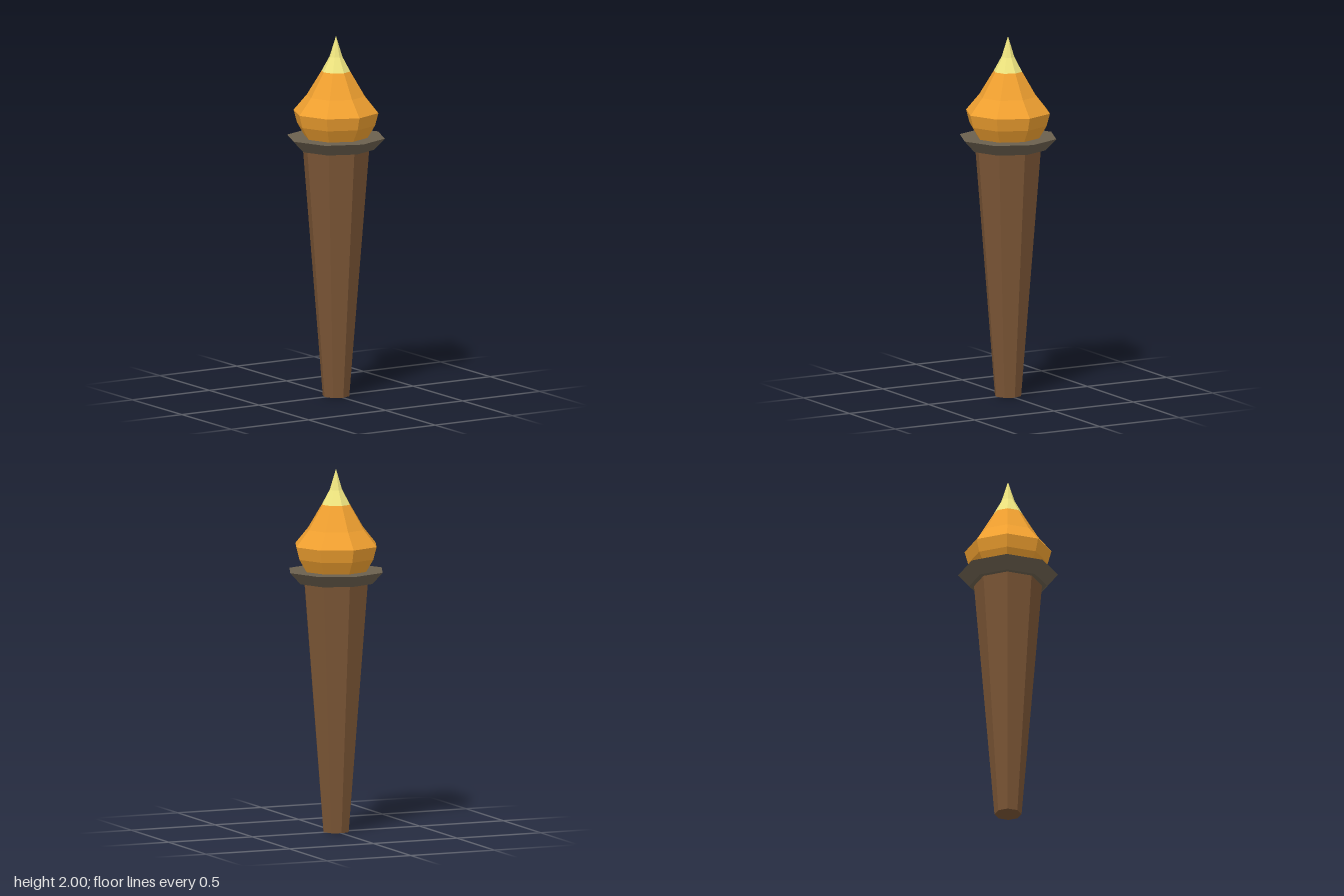
import * as THREE from 'three';

const SIDES = 8;

// Faceted eight-sided part turned from a [radius, height] profile, listed bottom to top
function turned(name, color, profile) {
  const points = profile.map(([r, y]) => new THREE.Vector2(r, y));
  const material = new THREE.MeshStandardMaterial({ color, flatShading: true });
  const mesh = new THREE.Mesh(new THREE.LatheGeometry(points, SIDES), material);
  mesh.name = name;
  return mesh;
}

export function createModel() {
  const torch = new THREE.Group();
  torch.name = 'torch';

  // Tapered wooden handle, closed at the foot
  torch.add(turned('handle', 0x7a5535, [[0, 0], [0.074, 0], [0.186, 1.38], [0, 1.38]]));

  // Flared collar with a flat top
  torch.add(turned('collar', 0x6b604e, [[0, 1.375], [0.212, 1.375], [0.273, 1.44], [0, 1.44]]));

  // Bulbous flame body and its bright pointed tip
  torch.add(turned('flame', 0xf0a030, [[0, 1.43], [0.17, 1.43], [0.218, 1.51], [0.237, 1.58], [0.162, 1.67], [0.08, 1.805]]));
  torch.add(turned('flameTip', 0xf0e680, [[0.08, 1.805], [0.036, 1.885], [0, 2]]));

  return torch;
}
